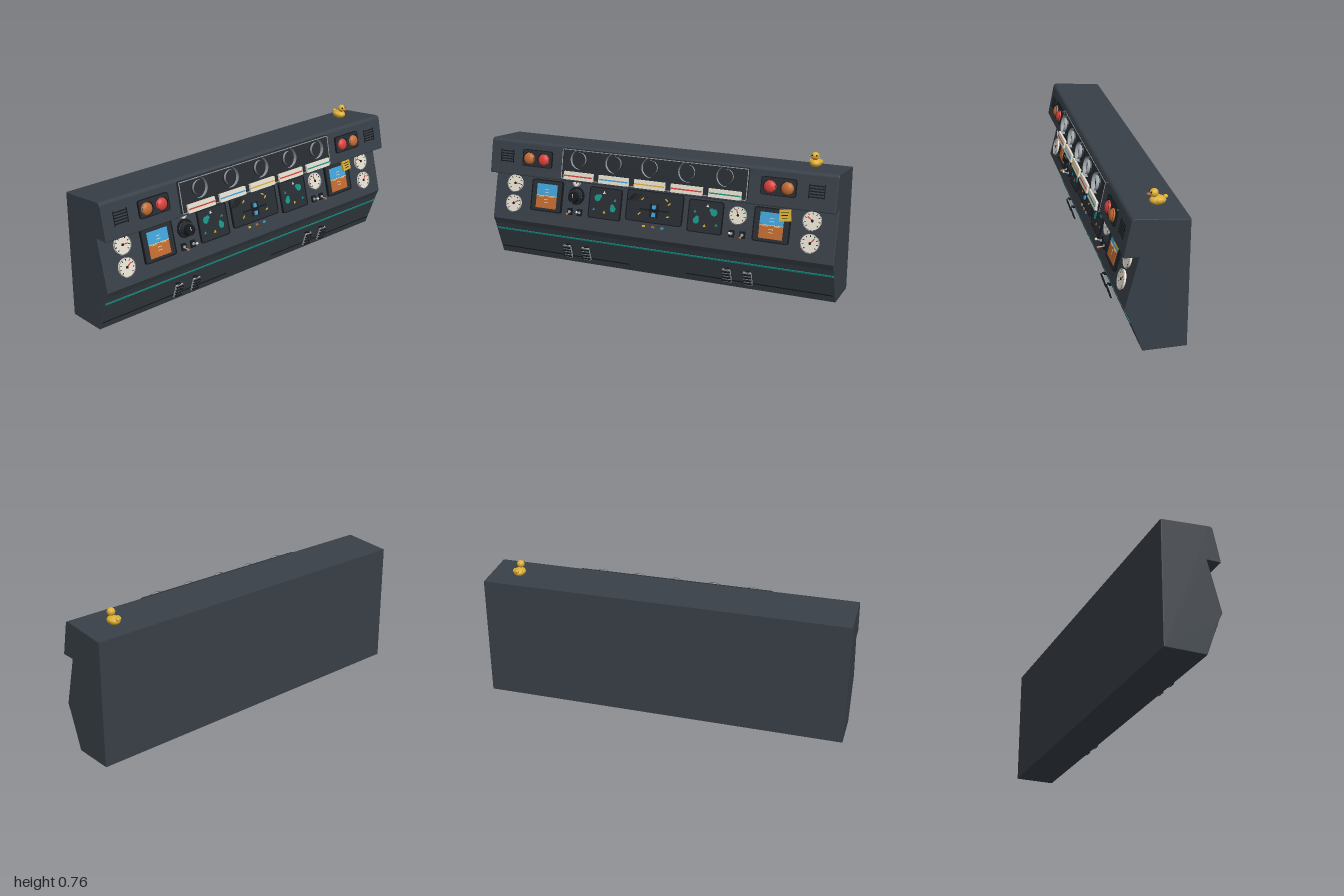
import * as THREE from 'three';

const mat = (name, color) => Object.assign(new THREE.MeshStandardMaterial({ color }), { name });

export function createModel() {
  const M = {
    body: mat('slate body', 0x383f47), panel: mat('panel charcoal', 0x282d33), dark: mat('near black', 0x15181c),
    cream: mat('cream', 0xe6e0d0), grey: mat('metal grey', 0x9ba1a6), red: mat('red', 0xd8403a),
    orange: mat('orange', 0xc06a30), yellow: mat('yellow', 0xdcae34), blue: mat('sky blue', 0x41a3d8), teal: mat('teal', 0x17958a),
  };
  const root = new THREE.Group();
  root.name = 'controlConsole';

  // Geometry helpers: every fitting has its back at z = 0 and faces +z
  const mesh = (name, geo, m) => {
    const o = new THREE.Mesh(geo, M[m]);
    o.name = name;
    return o;
  };
  const box = (w, h, d) => new THREE.BoxGeometry(w, h, d).translate(0, 0, d / 2);
  const disc = (r, d, r2 = r, n = 32) => new THREE.CylinderGeometry(r2, r, d, n).rotateX(Math.PI / 2).translate(0, 0, d / 2);
  const dome = (r, d) => new THREE.SphereGeometry(r, 24, 8, 0, Math.PI * 2, 0, Math.PI / 2).rotateX(Math.PI / 2).scale(1, 1, d / r);
  const roundRect = (w, h, r, C = THREE.Shape) => {
    const s = new C(), x = w / 2, y = h / 2;
    s.moveTo(r - x, -y).lineTo(x - r, -y).quadraticCurveTo(x, -y, x, r - y).lineTo(x, y - r).quadraticCurveTo(x, y, x - r, y);
    s.lineTo(r - x, y).quadraticCurveTo(-x, y, -x, y - r).lineTo(-x, r - y).quadraticCurveTo(-x, -y, r - x, -y);
    return s;
  };
  const extrude = (s, depth) => new THREE.ExtrudeGeometry(s, { depth, bevelEnabled: false, curveSegments: 5 });
  const plate = (w, h, d, r = 0.015) => extrude(roundRect(w, h, r), d);
  const frame = (w, h, d, t, r = 0.015) => {
    const s = roundRect(w, h, r);
    s.holes.push(roundRect(w - 2 * t, h - 2 * t, r * 0.6, THREE.Path));
    return extrude(s, d);
  };
  const ring = (ro, ri, d) => new THREE.LatheGeometry(
    [[ri, 0], [ri, d * 0.8], [ri + 0.003, d], [ro - 0.005, d], [ro, d * 0.75], [ro, 0]]
      .map(p => new THREE.Vector2(...p)).reverse(), 36).rotateX(Math.PI / 2).scale(-1, 1, 1);

  // Sloped face: put(part, x, y, d) takes the height in the front elevation and the distance off the face
  const face = (name, y0, z0, a) => {
    const g = new THREE.Group();
    g.name = name;
    g.position.set(0, y0, z0);
    g.rotation.x = a;
    root.add(g);
    return (o, x, y, d = 0, rz = 0) => {
      o.position.set(x, (y - y0 + d * Math.sin(a)) / Math.cos(a), d);
      o.rotation.z = rz;
      g.add(o);
      return o;
    };
  };

  // Cabinet: side profile extruded across the width
  const s = new THREE.Shape();
  s.moveTo(-0.174, 0).lineTo(0.046, 0).lineTo(0.12, 0.2).lineTo(0.136, 0.232).lineTo(0.066, 0.502);
  s.lineTo(0.138, 0.502).quadraticCurveTo(0.143, 0.503, 0.141, 0.511).lineTo(0.106, 0.677);
  s.quadraticCurveTo(0.101, 0.695, 0.083, 0.694).lineTo(-0.174, 0.67).closePath();
  const bodyGeo = new THREE.ExtrudeGeometry(s, { depth: 1.994, bevelSize: 0.003, bevelThickness: 0.003, bevelOffset: -0.003, bevelSegments: 2 });
  root.add(mesh('cabinet', bodyGeo.translate(0, 0, -0.997).rotateY(-Math.PI / 2), 'body'));

  const upper = face('upperFace', 0.511, 0.141, -0.208);
  const main = face('mainFace', 0.232, 0.136, -0.2537);
  const lower = face('lowerFace', 0, 0.046, 0.3544);

  // Round gauge with rim, dial, ticks and needle
  const gauge = (r, turn) => {
    const g = new THREE.Group();
    g.name = 'gauge';
    g.add(mesh('gaugeRim', ring(r, r * 0.9, 0.014), 'grey'), mesh('gaugeDial', disc(r * 0.92, 0.009), 'cream'));
    for (let i = 0; i < 9; i++) {
      const a = -0.7 + i * 0.57;
      const t = mesh('gaugeTick', box(r * 0.17, r * 0.07, 0.001), 'dark');
      t.position.set(Math.cos(a) * r * 0.74, Math.sin(a) * r * 0.74, 0.009);
      t.rotation.z = a;
      g.add(t);
    }
    const n = mesh('gaugeNeedle', box(r * 0.75, r * 0.1, 0.002).translate(r * 0.25, 0, 0), 'red');
    n.position.z = 0.009;
    n.rotation.z = turn;
    g.add(n, mesh('gaugeHub', disc(r * 0.13, 0.013), 'dark'));
    return g;
  };

  // Upper face: instrument row
  upper(mesh('instrumentPlate', plate(1.08, 0.168, 0.014, 0.008), 'panel'), 0, 0.6);
  upper(mesh('instrumentBorder', frame(1.076, 0.164, 0.002, 0.004, 0.008), 'grey'), 0, 0.6, 0.014);
  ['red', 'blue', 'yellow', 'red', 'teal'].forEach((c, i) => {
    const x = (i - 2) * 0.212;
    upper(mesh('dialBezel', ring(0.053, 0.038, 0.028), 'grey'), x, 0.63, 0.012);
    upper(mesh('dialGlass', disc(0.04, 0.01), 'panel'), x, 0.63, 0.012);
    upper(mesh('labelHolder', box(0.16, 0.034, 0.014), 'dark'), x, 0.542, 0.01);
    upper(mesh('labelCard', plate(0.178, 0.045, 0.012, 0.004), 'cream'), x, 0.542, 0.02);
    upper(mesh('labelStripe', box(0.172, 0.007, 0.001), c), x, 0.543, 0.032);
  });
  for (const k of [-1, 1]) {
    // Speaker slots and warning lamps
    for (let i = 0; i < 5; i++) upper(mesh('ventSlot', box(0.075, 0.006, 0.003), 'dark'), k * 0.895, 0.574 + i * 0.014);
    for (const e of [-1, 1]) upper(mesh('ventEdge', box(0.004, 0.075, 0.003), 'dark'), k * 0.895 + e * 0.04, 0.602);
    upper(mesh('lampPlate', plate(0.185, 0.092, 0.008), 'panel'), k * 0.698, 0.605);
    upper(mesh('lampPlateEdge', frame(0.187, 0.094, 0.01, 0.004), 'dark'), k * 0.698, 0.605);
    for (const [x, c] of [[0.747, 'orange'], [0.655, 'red']]) {
      upper(mesh('lampRing', ring(0.037, 0.03, 0.014), 'dark'), k * x, 0.604, 0.006);
      upper(mesh('warningLamp', dome(0.033, 0.02), c), k * x, 0.604, 0.01);
    }
  }

  // Main face: mirrored fittings
  for (const k of [-1, 1]) {
    main(gauge(0.052, k > 0 ? 2.5 : 0), k * 0.87, 0.436);
    main(gauge(0.052, k > 0 ? 0.9 : 0.6), k * 0.87, 0.325);

    // Horizon display
    main(mesh('displayFrame', plate(0.195, 0.178, 0.01), 'panel'), k * 0.66, 0.388);
    main(mesh('displayEdge', frame(0.197, 0.18, 0.013, 0.006), 'dark'), k * 0.66, 0.388);
    main(mesh('displaySky', box(0.128, 0.064, 0.003), 'blue'), k * 0.66, 0.423, 0.01);
    main(mesh('displayGround', box(0.128, 0.07, 0.003), 'orange'), k * 0.66, 0.356, 0.01);
    main(mesh('horizonLine', box(0.128, 0.003, 0.001), 'cream'), k * 0.66, 0.391, 0.013);
    for (const e of [-1, 1]) main(mesh('wingMark', box(0.03, 0.005, 0.002), 'yellow'), k * 0.66 + e * 0.032, 0.386, 0.013);
    for (const y of [0.41, 0.426, 0.37, 0.354]) main(mesh('pitchMark', box(0.025, 0.003, 0.001), 'cream'), k * 0.66, y, 0.013);

    // Map display
    main(mesh('mapPlate', plate(0.195, 0.172, 0.008), 'panel'), k * 0.295, 0.387);
    main(mesh('mapEdge', frame(0.197, 0.174, 0.011, 0.005), 'dark'), k * 0.295, 0.387);
    for (const [x, y, r] of [[0.342, 0.415, 0.02], [0.328, 0.425, 0.012], [0.245, 0.365, 0.018], [0.25, 0.38, 0.011]])
      main(mesh('mapIsland', disc(r, 0.002, r, 7), 'teal'), k * x, y, 0.008);
    for (const [x, y, c] of [[0.295, 0.342, 'yellow'], [0.235, 0.41, 'teal'], [0.304, 0.445, 'cream'], [0.36, 0.352, 'teal']])
      main(mesh('mapMarker', disc(0.01, 0.002, 0.01, 3), c), k * x, y, 0.008, Math.PI);

    // Toggle switches
    [0.448, 0.508].forEach((x, i) => {
      const up = i ? -1 : 1;
      main(mesh('togglePlate', plate(0.03, 0.038, 0.008, 0.004), 'dark'), k * x, 0.32);
      main(mesh('toggleCollar', disc(0.008, 0.012), 'grey'), k * x, 0.32);
      const t = new THREE.Group();
      t.name = 'toggle';
      const tip = mesh('toggleTip', new THREE.SphereGeometry(0.007, 12, 8), up > 0 ? 'cream' : 'orange');
      tip.position.z = 0.034;
      t.add(mesh('toggleStem', disc(0.003, 0.034, 0.004, 10), 'grey'), tip);
      main(t, k * x, 0.32, 0.006).rotation.x = -0.25 * up + 0.1;
    });
  }

  // Rotary knob with small gauge above, and single gauge opposite
  main(mesh('knobScale', disc(0.05, 0.006), 'dark'), -0.478, 0.408);
  main(mesh('knobRing', ring(0.047, 0.037, 0.01), 'grey'), -0.478, 0.408);
  main(mesh('knobSkirt', disc(0.036, 0.028, 0.034), 'panel'), -0.478, 0.408);
  main(mesh('knobCap', disc(0.031, 0.022, 0.028), 'dark'), -0.478, 0.408, 0.028);
  main(mesh('knobMark', box(0.004, 0.02, 0.001), 'cream'), -0.478, 0.42, 0.05);
  main(gauge(0.022, 1.2), -0.48, 0.478);
  main(gauge(0.05, 1.9), 0.475, 0.416);

  // Centre lever panel
  main(mesh('leverPlate', plate(0.33, 0.17, 0.008, 0.02), 'panel'), 0, 0.4);
  main(mesh('leverEdge', frame(0.332, 0.172, 0.011, 0.005, 0.02), 'dark'), 0, 0.4);
  for (const x of [-0.02, 0.02]) main(mesh('leverSlot', box(0.009, 0.075, 0.003), 'dark'), x, 0.385, 0.008);
  main(mesh('crossSlot', box(0.17, 0.007, 0.002), 'dark'), 0, 0.387, 0.008);
  main(mesh('lever', box(0.018, 0.062, 0.01), 'blue'), 0, 0.383, 0.008);
  main(mesh('leverGrip', box(0.022, 0.018, 0.014), 'dark'), 0, 0.385, 0.008);
  for (let i = 0; i < 4; i++) main(mesh('hatch', box(0.055, 0.004, 0.002), 'dark'), -0.14 + i * 0.014, 0.445, 0.008, 0.85);
  for (const [x, y, r] of [[-0.073, 0.44, 0.7], [0.068, 0.447, -0.6], [0.085, 0.428, 0.7], [0.083, 0.362, 0.3], [-0.085, 0.362, 0.8]])
    main(mesh('yellowMark', box(0.018, 0.007, 0.002), 'yellow'), x, y, 0.008, r);
  ['yellow', 'orange', 'blue'].forEach((c, i) => main(mesh('indicator', box(0.016, 0.01, 0.005), c), (i - 1) * 0.054, 0.297));

  // Sticky note lifting off the right-hand display
  const note = new THREE.Group();
  note.name = 'stickyNote';
  note.add(mesh('notePaper', box(0.06, 0.06, 0.012), 'yellow'));
  for (let i = 0; i < 3; i++) {
    const line = mesh('noteLine', box(0.04 - i * 0.006, 0.004, 0.001), 'dark');
    line.position.set(0, 0.014 - i * 0.014, 0.012);
    note.add(line);
  }
  main(note, 0.73, 0.45, 0.014, 0.1);

  // Lower face: trim line, seams and pedals
  lower(mesh('trimLine', box(1.996, 0.01, 0.003), 'teal'), 0, 0.162);
  for (const k of [-1, 1]) {
    lower(mesh('kickSeam', box(0.82, 0.006, 0.002), 'dark'), k * 0.58, 0.04);
    for (const x of [0.42, 0.537]) {
      const p = new THREE.Group();
      p.name = 'pedal';
      p.position.set(k * x, 0.077, 0.098);
      const pad = new THREE.Group();
      pad.rotation.x = 0.31;
      pad.add(mesh('pedalPad', plate(0.048, 0.083, 0.006, 0.006).translate(0, 0, -0.003), 'grey'));
      for (let i = 0; i < 4; i++) {
        const rib = mesh('pedalRib', box(0.044, 0.006, 0.01), 'dark');
        rib.position.set(0, -0.028 + i * 0.019, 0.002);
        pad.add(rib);
      }
      const arm = mesh('pedalArm', box(0.018, 0.01, 0.034), 'dark');
      arm.position.set(0, 0.038, -0.02);
      p.add(pad, arm);
      root.add(p);
    }
  }

  // Toy duck on the top
  const duck = new THREE.Group();
  duck.name = 'toyDuck';
  duck.position.set(0.834, 0.681, -0.06);
  const blob = (name, m, x, y, z, rx, ry, rz) => {
    const o = mesh(name, new THREE.SphereGeometry(1, 24, 16), m);
    o.position.set(x, y, z);
    o.scale.set(rx, ry, rz);
    duck.add(o);
  };
  blob('duckBody', 'yellow', 0, 0.022, 0, 0.031, 0.023, 0.04);
  blob('duckHead', 'yellow', 0, 0.06, 0.018, 0.021, 0.021, 0.021);
  blob('duckTail', 'yellow', 0, 0.036, -0.037, 0.011, 0.01, 0.011);
  blob('duckBeak', 'orange', 0, 0.056, 0.042, 0.011, 0.005, 0.012);
  for (const k of [-1, 1]) {
    blob('duckWing', 'yellow', k * 0.028, 0.027, -0.004, 0.007, 0.012, 0.019);
    blob('duckEye', 'dark', k * 0.011, 0.066, 0.034, 0.004, 0.005, 0.004);
  }
  root.add(duck);
  return root;
}
